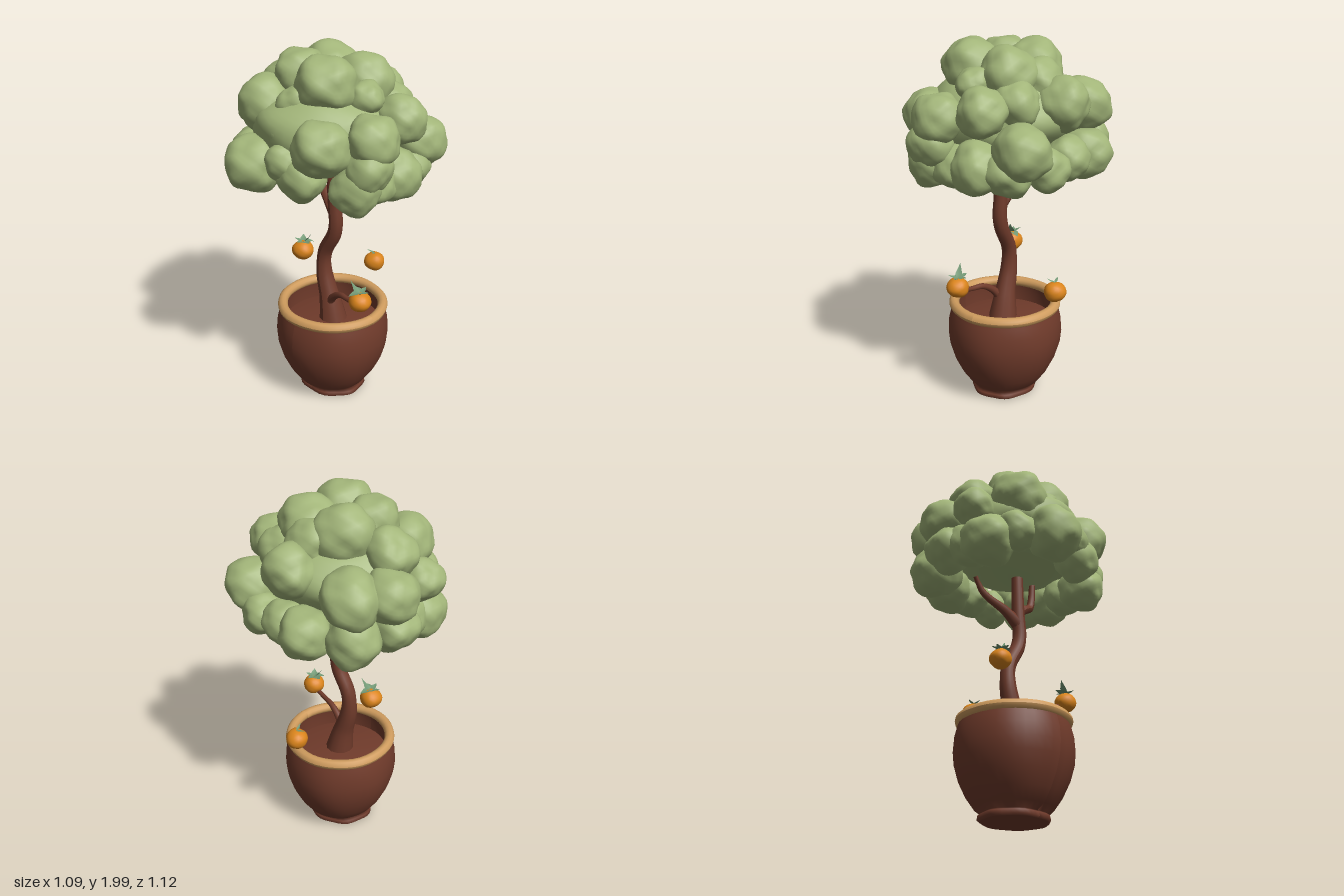
import * as THREE from 'three';
import { mergeVertices } from 'three/addons/utils/BufferGeometryUtils.js';

const mat = (name, color, side = THREE.FrontSide) => {
  const m = new THREE.MeshStandardMaterial({ color, side });
  m.name = name;
  return m;
};
const V = (p) => new THREE.Vector3(...p);

export function createModel() {
  const brown = mat('terracotta brown', 0x703b2b);
  const tan = mat('tan rim', 0xcf9c5e);
  const green = mat('foliage green', 0xa2b579);
  const orange = mat('fruit orange', 0xdb851c);
  const leafGreen = mat('leaf green', 0x769c78, THREE.DoubleSide);

  const root = new THREE.Group();
  root.name = 'pottedTree';
  const add = (name, geo, material, parent = root) => {
    const mesh = new THREE.Mesh(geo, material);
    mesh.name = name;
    parent.add(mesh);
    return mesh;
  };

  // Move every vertex of a geometry by a rule
  const warp = (geo, rule) => {
    const pos = geo.attributes.position, v = new THREE.Vector3();
    for (let i = 0; i < pos.count; i++) {
      v.fromBufferAttribute(pos, i);
      rule(v, i);
      pos.setXYZ(i, v.x, v.y, v.z);
    }
    return geo;
  };

  // Hand-thrown wobble for the pot, strongest at the foot
  const wobble = (v) => {
    const a = Math.atan2(v.z, v.x);
    const foot = v.y < 0.06 ? 1 : 0;
    const k = 1 + 0.005 * Math.sin(3 * a + 4 * v.y) + (0.004 + 0.02 * foot) * Math.sin(7 * a - 9 * v.y);
    v.x *= k;
    v.z *= k * (1 - 0.08 * foot);
  };

  // Pot: bowl outside, wall inside, soil surface
  const pot = new THREE.Group();
  pot.name = 'pot';
  pot.position.set(0.02, 0, -0.02);
  root.add(pot);
  const lathe = (pts) => {
    const g = warp(new THREE.LatheGeometry(pts.map((p) => new THREE.Vector2(...p)), 40), wobble);
    g.computeVertexNormals();
    return g;
  };
  add('potBase', lathe([[0, 0.005], [0.18, 0.005]]), brown, pot);
  add('potBody', lathe([[0.18, 0.005], [0.193, 0.015], [0.19, 0.035], [0.176, 0.045], [0.205, 0.075], [0.25, 0.14],
    [0.288, 0.22], [0.311, 0.3], [0.318, 0.37], [0.313, 0.44], [0.3, 0.49], [0.288, 0.53]]), brown, pot);
  add('potInside', lathe([[0.265, 0.53], [0.272, 0.48], [0.27, 0.42]]), brown, pot);
  add('soil', lathe([[0.275, 0.42], [0.2, 0.435], [0.1, 0.445], [0, 0.45]]), brown, pot);
  const rim = new THREE.TorusGeometry(0.283, 0.028, 12, 44);
  rim.rotateX(Math.PI / 2);
  warp(rim, (v) => {
    wobble(v.setY(v.y + 0.533));
  });
  rim.computeVertexNormals();
  add('potRim', rim, tan, pot);

  // Limb: tube along a curve, tapering through a list of radii
  const limb = (name, points, radii, segments = 24, sides = 10) => {
    const curve = new THREE.CatmullRomCurve3(points.map(V));
    const geo = warp(new THREE.TubeGeometry(curve, segments, 1, sides), (v, i) => {
      const t = Math.floor(i / (sides + 1)) / segments;
      const f = t * (radii.length - 1), k = Math.min(Math.floor(f), radii.length - 2);
      const c = curve.getPointAt(t);
      v.sub(c).multiplyScalar(THREE.MathUtils.lerp(radii[k], radii[k + 1], f - k)).add(c);
    });
    geo.computeVertexNormals();
    add(name, geo, brown);
  };
  limb('trunk', [[0.035, 0.4, -0.015], [0.005, 0.56, -0.012], [-0.038, 0.72, -0.01], [-0.032, 0.84, -0.012],
    [0.038, 0.97, -0.012], [0.052, 1.04, -0.01], [0.042, 1.16, -0.01], [0.03, 1.35, -0.005], [0.02, 1.55, 0]],
  [0.085, 0.055, 0.041, 0.04, 0.038, 0.034, 0.03], 40, 12);
  limb('rightBranch', [[0.04, 1.11, -0.01], [-0.04, 1.175, -0.03], [-0.13, 1.23, -0.065], [-0.17, 1.265, -0.08],
    [-0.2, 1.31, -0.085], [-0.22, 1.34, -0.085]], [0.036, 0.028, 0.022, 0.018, 0.012]);
  limb('leftBranch', [[0.04, 1.18, -0.01], [0.09, 1.22, -0.01], [0.14, 1.25, -0.015], [0.155, 1.3, -0.015],
    [0.16, 1.42, -0.01]], [0.03, 0.024, 0.02, 0.017]);
  limb('fruitBranch', [[0.0, 0.5, 0], [0.06, 0.595, 0.02], [0.14, 0.65, 0.04], [0.22, 0.66, 0.06],
    [0.32, 0.68, 0.08]], [0.032, 0.02, 0.014, 0.011]);

  // Lumpy ball with smooth normals
  const lump = (r, seed, detail, amount) => {
    let g = new THREE.IcosahedronGeometry(1, detail);
    g.deleteAttribute('uv');
    g.deleteAttribute('normal');
    g = mergeVertices(g, 1e-4);
    warp(g, (v) => {
      const s = seed * 1.7;
      const n = Math.sin(3.1 * v.x + s) * Math.sin(3.4 * v.y + 2 * s) + Math.sin(3.7 * v.z - s) * Math.cos(2.9 * v.x + 3 * s)
        + 0.5 * Math.sin(7.3 * v.y + s) * Math.sin(6.7 * v.x - 2 * s) + 0.45 * Math.sin(9.1 * v.z + 3 * s) * Math.cos(8.3 * v.y);
      v.multiplyScalar(r * (1 + amount * n));
    });
    g.computeVertexNormals();
    return g;
  };

  // Canopy: [x, y, z, radius] of each leaf clump
  const canopy = new THREE.Group();
  canopy.name = 'canopy';
  root.add(canopy);
  const clumps = [
    // crown
    [-0.1, 1.83, -0.12, 0.155], [0.14, 1.82, -0.12, 0.15], [-0.12, 1.85, 0.07, 0.135], [0.11, 1.84, 0.12, 0.155],
    [0.26, 1.78, 0, 0.09], [-0.3, 1.75, -0.02, 0.135], [0, 1.75, 0.23, 0.09], [0.02, 1.78, -0.22, 0.13],
    // upper ring
    [-0.2, 1.71, 0.23, 0.15], [0.02, 1.69, -0.37, 0.135], [-0.31, 1.62, -0.3, 0.15], [0.22, 1.7, -0.22, 0.12],
    [0.38, 1.68, -0.13, 0.125], [0.41, 1.63, 0.11, 0.13], [0.24, 1.59, 0.29, 0.145], [0.02, 1.64, 0.31, 0.09],
    [-0.41, 1.61, 0.1, 0.11], [-0.41, 1.61, -0.13, 0.14],
    // lower ring
    [-0.12, 1.45, 0.4, 0.15], [0.06, 1.5, 0.36, 0.1], [0.15, 1.43, 0.33, 0.12], [0.37, 1.39, 0.18, 0.13],
    [0.42, 1.5, 0.15, 0.12], [0.37, 1.4, -0.1, 0.14], [0.36, 1.39, 0.05, 0.12], [0.33, 1.5, -0.33, 0.145],
    [0.33, 1.39, -0.24, 0.125], [0.2, 1.4, -0.39, 0.11], [-0.12, 1.42, -0.42, 0.135], [0.03, 1.42, -0.4, 0.12],
    [-0.32, 1.41, -0.3, 0.14], [-0.4, 1.44, -0.1, 0.13], [-0.36, 1.41, 0.16, 0.145], [-0.27, 1.45, 0.28, 0.11],
    [-0.37, 1.42, 0.03, 0.12],
  ];
  clumps.forEach(([x, y, z, r], i) => {
    const m = add('leafClump', lump(r, i + 1, 6, 0.06), green, canopy);
    m.position.set(x, y, z);
  });
  const core = add('canopyCore', lump(1, 3, 8, 0.03), green, canopy);
  core.position.set(0, 1.61, 0);
  core.scale.set(0.39, 0.23, 0.39);

  // Leaf blade: pointed strip arching up and outward along +x
  const leaf = (length, width, rise) => {
    const g = new THREE.PlaneGeometry(1, 1, 7, 2);
    warp(g, (v) => {
      const t = v.x + 0.5, side = v.y * 2;
      const w = width * Math.sin(Math.PI * Math.pow(t, 0.7)) * 0.5;
      v.set(length * t, rise * t * t + Math.abs(side) * w * 0.3, side * w);
    });
    g.computeVertexNormals();
    return g;
  };

  // Fruit: flattened ball with leaves listed as [angle, length, width, rise]
  const fullCap = [[0, 0.055, 0.036, 0.065], [0.7, 0.065, 0.045, -0.012], [-0.6, 0.065, 0.045, 0.012],
    [1.9, 0.05, 0.032, 0.022], [-1.8, 0.055, 0.032, 0.012], [3.1, 0.05, 0.026, 0.012]];
  const smallCap = [[0, 0.05, 0.016, 0.012], [1.6, 0.045, 0.016, 0.018]];
  const fruits = [
    [0.32, 0.7, 0.08, 3.5, fullCap], [-0.15, 0.828, 0.045, 0.4, fullCap], [0.035, 0.677, -0.352, 3.4, smallCap],
  ];
  fruits.forEach(([x, y, z, lean, cap], i) => {
    const fruit = new THREE.Group();
    fruit.name = 'fruit';
    fruit.position.set(x, y, z);
    root.add(fruit);
    add('fruitBody', lump(0.06, i + 5, 4, 0.025), orange, fruit).scale.y = 0.9;
    cap.forEach(([angle, length, width, rise]) => {
      const blade = add('fruitLeaf', leaf(length, width, rise), leafGreen, fruit);
      blade.position.y = 0.053;
      blade.rotation.y = lean + angle;
    });
  });

  return root;
}
